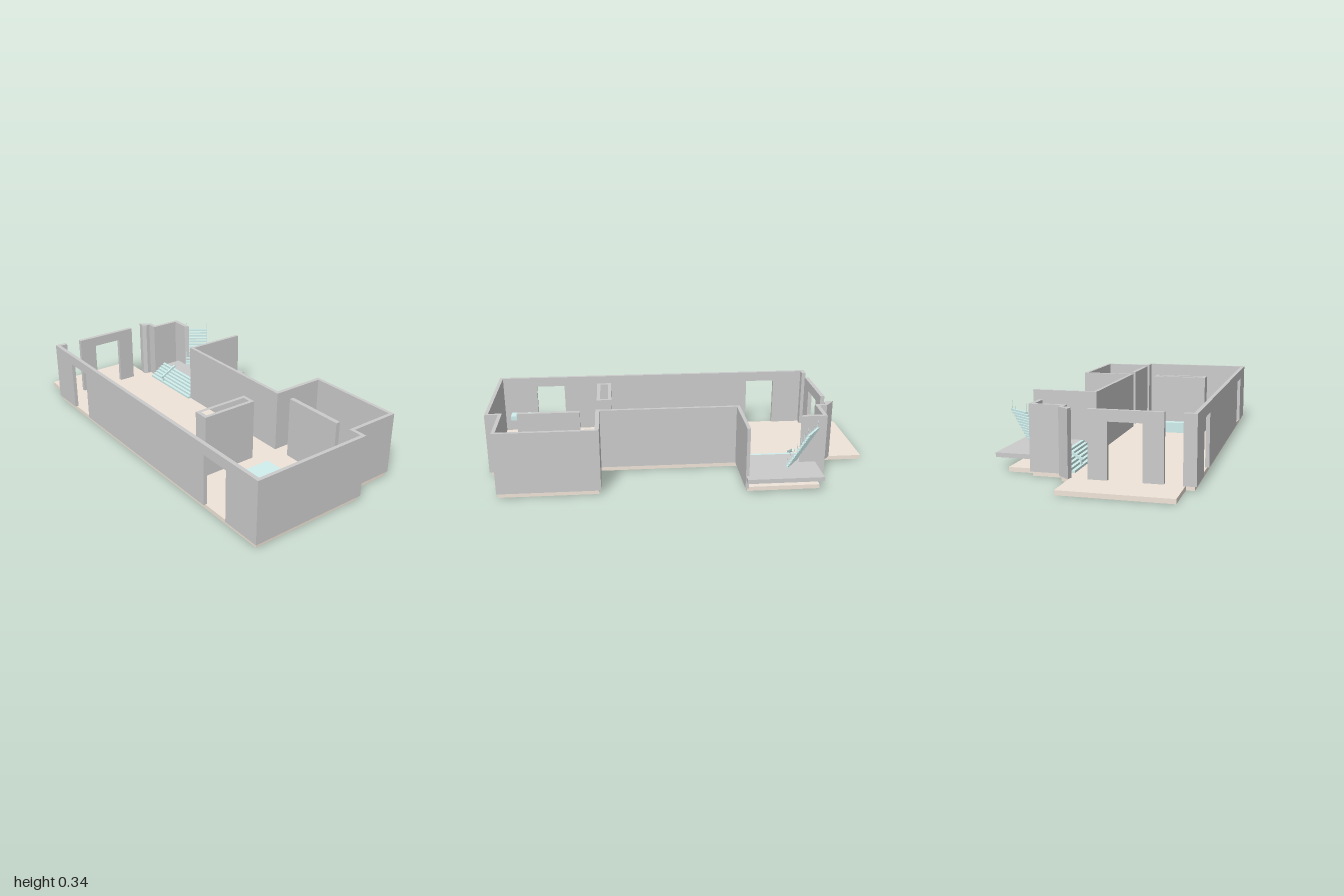
import * as THREE from 'three';

const FLOOR = 0.022, TOP = 0.34, DOOR = 0.287;
const grey = new THREE.MeshStandardMaterial({ color: 0xcccccc });
const beige = new THREE.MeshStandardMaterial({ color: 0xf0e4d8 });
const teal = new THREE.MeshStandardMaterial({ color: 0xd0efee });

// Box given by its limits on each axis
function block(parent, name, x0, x1, y0, y1, z0, z1, material = grey) {
  const mesh = new THREE.Mesh(new THREE.BoxGeometry(x1 - x0, y1 - y0, z1 - z0), material);
  mesh.position.set((x0 + x1) / 2, (y0 + y1) / 2, (z0 + z1) / 2);
  mesh.name = name;
  parent.add(mesh);
  return mesh;
}

// Plan outline of [x, z] points, with optional holes, raised from y0 to y1
function raised(parent, name, outline, y0, y1, material = grey, holes = []) {
  const points = (list) => list.map(([x, z]) => new THREE.Vector2(x, -z));
  const shape = new THREE.Shape(points(outline));
  for (const hole of holes) shape.holes.push(new THREE.Path(points(hole)));
  const geometry = new THREE.ExtrudeGeometry(shape, { depth: y1 - y0, bevelEnabled: false });
  geometry.rotateX(-Math.PI / 2);
  const mesh = new THREE.Mesh(geometry, material);
  mesh.position.y = y0;
  mesh.name = name;
  parent.add(mesh);
}

const rect = (x0, x1, z0, z1) => [[x0, z0], [x1, z0], [x1, z1], [x0, z1]];

export function createModel() {
  const model = new THREE.Group();
  model.name = 'house';

  // Floor slab with terrace, stair bay and back room
  raised(model, 'floor', [
    [-1, 0.44], [-0.79, 0.44], [-0.79, 0.48], [0.985, 0.48], [0.985, -0.13], [0.92, -0.13],
    [0.92, -0.398], [0.425, -0.398], [0.425, -0.12], [-0.31, -0.12], [-0.31, -0.43],
    [-0.68, -0.43], [-0.68, -0.29], [-0.725, -0.29], [-0.725, -0.13], [-0.78, -0.13],
    [-0.80, -0.085], [-1, -0.085],
  ], 0, FLOOR, beige);

  // Front wall with two doorways
  const frontWall = new THREE.Group();
  frontWall.name = 'frontWall';
  model.add(frontWall);
  for (const [x0, x1] of [[-0.805, -0.618], [-0.455, 0.625], [0.785, 0.995]])
    block(frontWall, 'wallPanel', x0, x1, FLOOR, TOP, 0.47, 0.49);
  for (const [x0, x1] of [[-0.618, -0.455], [0.625, 0.785]])
    block(frontWall, 'lintel', x0, x1, DOOR, TOP, 0.47, 0.49);

  // Side, back room and rear walls as one continuous band
  raised(model, 'rearWalls', [
    [0.995, 0.47], [0.995, -0.14], [0.926, -0.14], [0.926, -0.405], [0.415, -0.405],
    [0.415, -0.125], [-0.30, -0.125], [-0.30, -0.445], [-0.317, -0.445], [-0.317, -0.107],
    [0.435, -0.107], [0.435, -0.387], [0.908, -0.387], [0.908, -0.122], [0.977, -0.122],
    [0.977, 0.47],
  ], FLOOR, TOP);

  // Entrance corner and wall beside the stairs
  raised(model, 'stairCornerWall', [
    [-0.822, -0.085], [-0.775, -0.143], [-0.735, -0.143], [-0.735, -0.30], [-0.60, -0.30],
    [-0.615, -0.278], [-0.715, -0.278], [-0.715, -0.122], [-0.77, -0.122], [-0.77, -0.10],
    [-0.785, -0.08],
  ], FLOOR, TOP);

  // Terrace screen with a doorway, and the short return at the front corner
  const screen = new THREE.Group();
  screen.name = 'terraceScreen';
  model.add(screen);
  block(screen, 'screenPier', -0.8, -0.778, FLOOR, TOP, 0, 0.09);
  block(screen, 'screenPier', -0.8, -0.778, FLOOR, TOP, 0.25, 0.345);
  block(screen, 'screenLintel', -0.8, -0.778, DOOR, TOP, 0.09, 0.25);
  block(model, 'cornerReturn', -0.805, -0.782, FLOOR, TOP, 0.43, 0.47);

  // Free-standing partition and hollow core
  block(model, 'partition', 0.515, 0.832, FLOOR, TOP, -0.14, -0.117);
  raised(model, 'hollowCore', rect(0.352, 0.43, 0.04, 0.335), FLOOR, TOP, grey,
    [rect(0.37, 0.412, 0.058, 0.315)]);

  // Furniture
  raised(model, 'bench', [[0.305, 0.07], [0.352, 0.07], [0.352, 0.30], [0.312, 0.30], [0.305, 0.2]],
    FLOOR, 0.08, teal);
  block(model, 'islandBody', 0.638, 0.798, FLOOR, 0.122, 0.12, 0.278);
  block(model, 'islandTop', 0.63, 0.802, 0.122, 0.128, 0.115, 0.284, teal);
  block(model, 'cornerShelf', 0.828, 0.94, 0.105, 0.13, 0.405, 0.47, teal);

  // Raised landing and the wide steps up to it
  block(model, 'landing', -0.685, -0.302, 0.068, 0.09, -0.493, -0.19);
  const wideSteps = new THREE.Group();
  wideSteps.name = 'wideSteps';
  model.add(wideSteps);
  const wideCount = 6;
  for (let i = 0; i < wideCount; i++) {
    const z = -0.09 - 0.1 * i / wideCount;
    const y = FLOOR + (0.09 - FLOOR) * (i + 1) / wideCount;
    block(wideSteps, 'step', -0.71, -0.317, FLOOR, y, z - 0.1 / wideCount, z, teal);
  }
  // Slanted handrail on the wide steps
  const rail = block(model, 'stepRail', -0.597, -0.589, -0.006, 0.006, -0.055, 0.055, teal);
  rail.position.set(-0.593, 0.085, -0.14);
  rail.rotation.x = 0.5;
  block(model, 'railPost', -0.597, -0.589, 0.035, 0.065, -0.103, -0.095, teal);

  // Steep upper flight: local +x climbs, local z is the tread width
  const flight = new THREE.Group();
  flight.name = 'upperFlight';
  flight.position.set(-0.553, 0.09, -0.322);
  flight.rotation.y = Math.PI - Math.atan2(0.065, 0.09);
  model.add(flight);
  const count = 13, run = 0.112, rise = 0.2;
  for (let i = 0; i < count; i++) {
    const x = run * i / count, y = rise * (i + 1) / count;
    block(flight, 'tread', x, x + run / count + 0.003, y - 0.009, y, -0.066, 0.066, teal);
    if (i % 2 === 0) for (const side of [-1, 1])
      block(flight, 'baluster', x + 0.003, x + 0.005, y, y + 0.04, side * 0.064 - 0.001, side * 0.064 + 0.001, teal);
  }
  return model;
}
